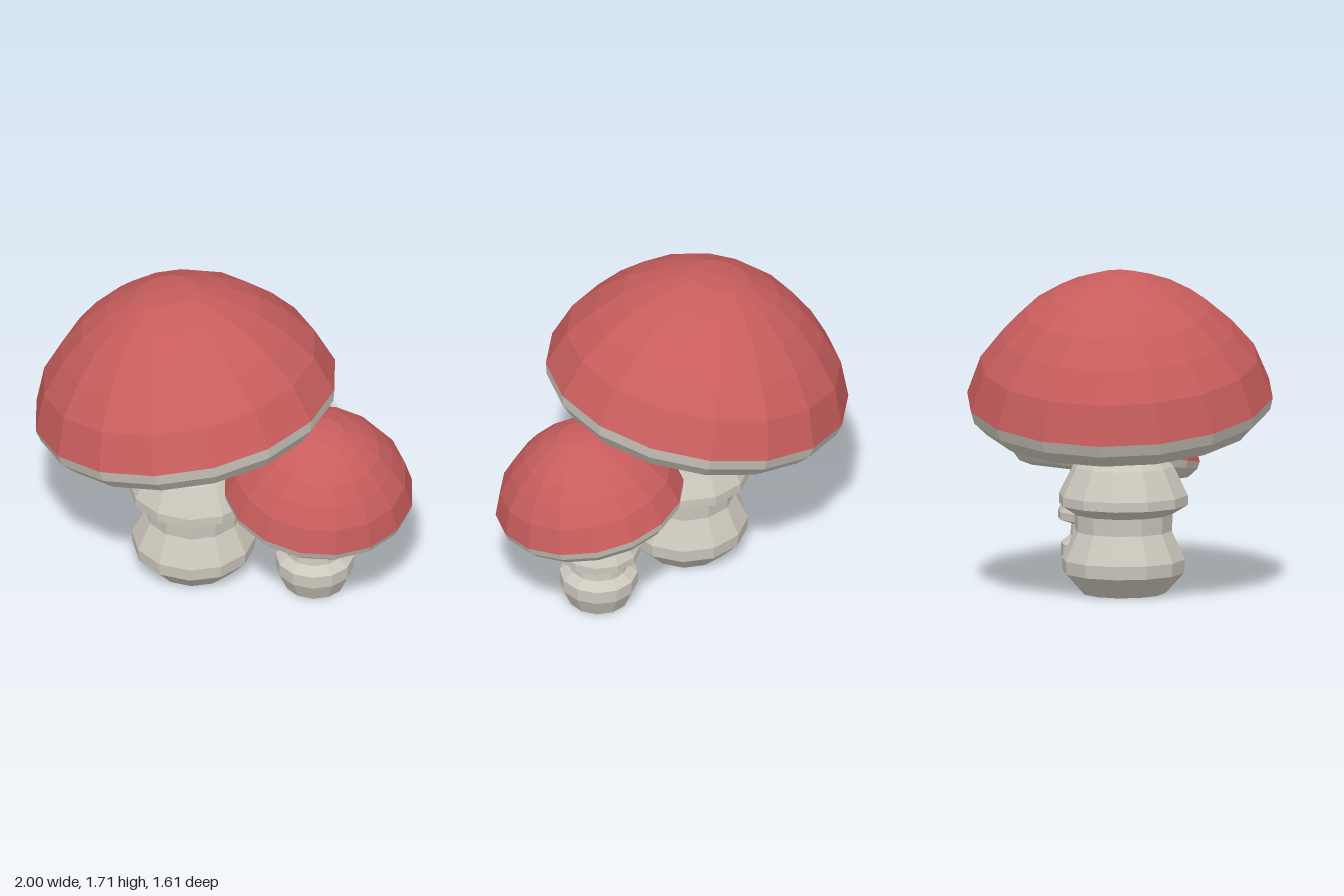
import * as THREE from 'three';

const UP = new THREE.Vector3(0, 1, 0);

// Outline of a cap for a rim radius of 0.806: underside, then dome
const UNDER = [[0, -0.165], [0.3, -0.172], [0.62, -0.165], [0.72, -0.14], [0.79, -0.064], [0.806, 0]];
const DOME = [[0.806, 0], [0.73, 0.2], [0.61, 0.35], [0.48, 0.475], [0.34, 0.565], [0.16, 0.64], [0, 0.657]];

const pts = (profile, sr = 1, sy = 1) => profile.map(([r, y]) => new THREE.Vector2(r * sr, y * sy));

function radiusAt(profile, y) {
  for (let i = 1; i < profile.length; i++) {
    const [r0, y0] = profile[i - 1], [r1, y1] = profile[i];
    if (y <= y1 && y1 > y0) return r0 + (r1 - r0) * (y - y0) / (y1 - y0);
  }
  return profile[profile.length - 1][0];
}

// Slants the neck so that it meets the tilted cap
function slant(geo, { neck, top, slope }) {
  const p = geo.attributes.position;
  for (let i = 0; i < p.count; i++) {
    const t = THREE.MathUtils.clamp((p.getY(i) - neck) / (top - neck), 0, 1);
    p.setY(i, p.getY(i) + t * (slope[0] * p.getX(i) + slope[1] * p.getZ(i)));
  }
  geo.computeVertexNormals();
  return geo;
}

// One pointed red drip lying on the neck
function dripGeometry(stem, angle, halfWidth, yTop, yTip) {
  const corner = (a, y) => {
    const r = radiusAt(stem, y) + 0.006;
    return [r * Math.sin(a), y, r * Math.cos(a)];
  };
  const geo = new THREE.BufferGeometry();
  geo.setAttribute('position', new THREE.Float32BufferAttribute([
    ...corner(angle - halfWidth, yTop), ...corner(angle, yTip), ...corner(angle + halfWidth, yTop)], 3));
  return geo;
}

function mushroom(name, o, mats) {
  const group = new THREE.Group();
  group.name = name;
  const add = (parent, part, geo, mat) => {
    const mesh = new THREE.Mesh(geo, mat);
    mesh.name = part;
    parent.add(mesh);
  };

  // Stem with its bulging rings
  const stem = new THREE.Group();
  stem.name = 'stemGroup';
  stem.position.set(o.stemAt[0], 0, o.stemAt[1]);
  group.add(stem);
  add(stem, 'stem', slant(new THREE.LatheGeometry(pts([[0, 0], ...o.stem]), 12), o), mats.stem);

  // Red patch and drips below the cap
  const band = o.patch.ys.map(y => new THREE.Vector2(radiusAt(o.stem, y) + 0.005, y));
  add(stem, 'redPatch', slant(new THREE.LatheGeometry(band, o.patch.sides,
    o.patch.start * Math.PI / 6, o.patch.sides * Math.PI / 6), o), mats.cap);
  for (const deg of o.drips.angles) {
    add(stem, 'drip', slant(dripGeometry(o.stem, THREE.MathUtils.degToRad(deg), o.drips.half,
      o.drips.top, o.drips.tip), o), mats.cap);
  }

  // Tilted cap: red dome above, pale rim and underside below
  const cap = new THREE.Group();
  cap.name = 'cap';
  cap.position.set(...o.capAt);
  cap.quaternion.setFromUnitVectors(UP, new THREE.Vector3(-o.slope[0], 1, -o.slope[1]).normalize());
  add(cap, 'dome', new THREE.LatheGeometry(pts(DOME, o.scale, o.domeScale), 16), mats.cap);
  add(cap, 'underside', new THREE.LatheGeometry(pts(UNDER, o.scale, o.scale), 16), mats.stem);
  group.add(cap);
  return group;
}

export function createModel() {
  const make = (name, color) => {
    const m = new THREE.MeshStandardMaterial({ color, flatShading: true, side: THREE.DoubleSide });
    m.name = name;
    return m;
  };
  const mats = { cap: make('capRed', 0xc85d5d), stem: make('stemCream', 0xcdc8bd) };

  const model = new THREE.Group();
  model.name = 'mushrooms';
  model.add(mushroom('largeMushroom', {
    stemAt: [-0.15, 0.01],
    stem: [[0.22, 0], [0.32, 0.11], [0.325, 0.18], [0.255, 0.33], [0.26, 0.42], [0.34, 0.47],
      [0.34, 0.52], [0.265, 0.67], [0.232, 0.71], [0.23, 0.82], [0.29, 0.9]],
    neck: 0.72, top: 0.88, slope: [0.2, 0],
    capAt: [-0.21, 1.05, 0], scale: 1, domeScale: 1,
    patch: { start: 1, sides: 1, ys: [0.79, 0.82, 0.885] },
    drips: { angles: [-18, 4, 24, 46], half: 0.16, top: 0.81, tip: 0.71 },
  }, mats));
  model.add(mushroom('smallMushroom', {
    stemAt: [0.47, -0.2],
    stem: [[0.16, 0], [0.205, 0.1], [0.205, 0.17], [0.155, 0.21], [0.148, 0.275], [0.22, 0.3],
      [0.22, 0.34], [0.16, 0.45], [0.147, 0.5], [0.16, 0.55]],
    neck: 0.46, top: 0.54, slope: [-0.15, -0.08],
    capAt: [0.51, 0.64, -0.175], scale: 0.62, domeScale: 0.65,
    patch: { start: -4, sides: 2, ys: [0.47, 0.5, 0.545] },
    drips: { angles: [-48, -24, -2], half: 0.18, top: 0.52, tip: 0.455 },
  }, mats));
  return model;
}
